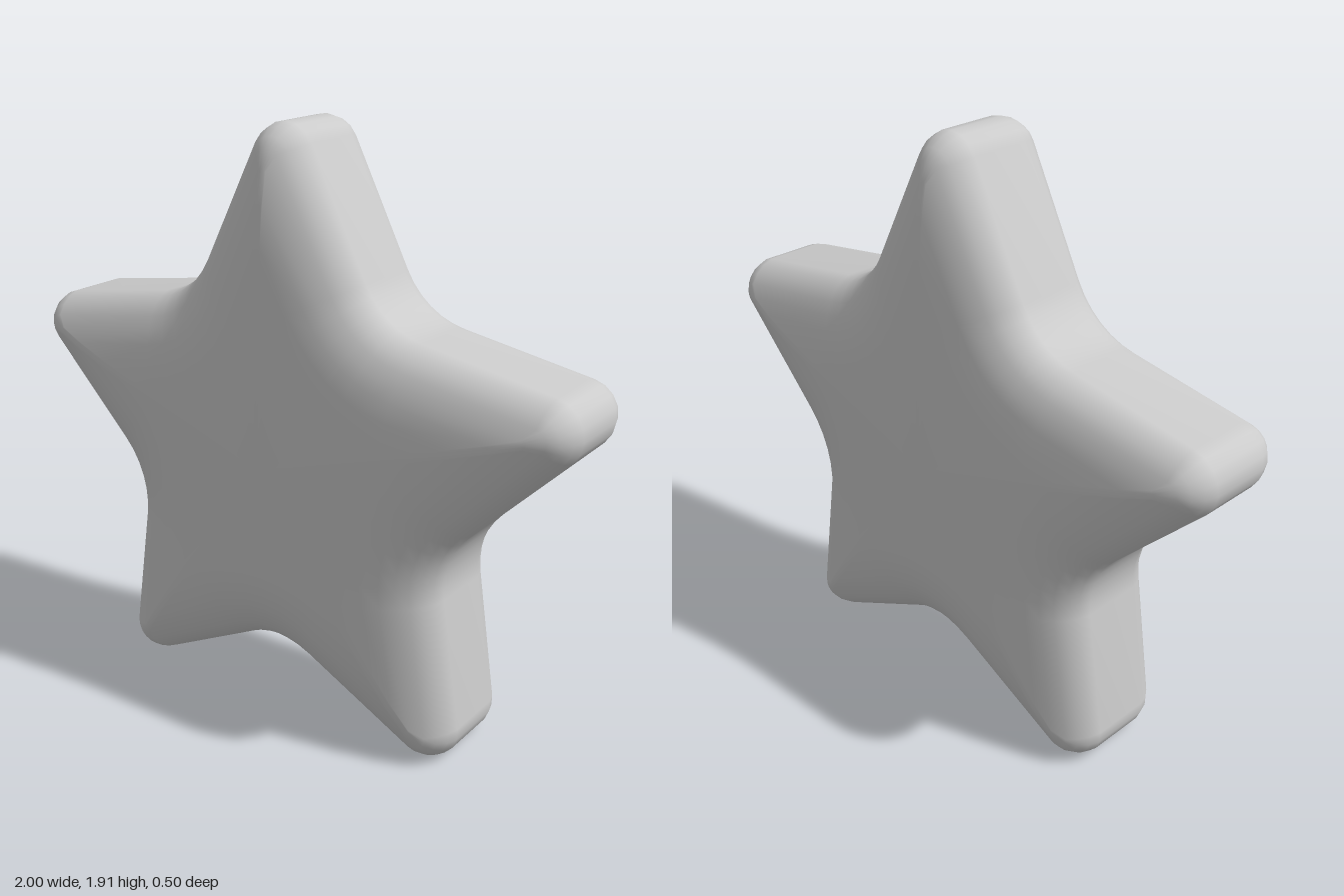
import * as THREE from 'three';

const CENTRE_Y = 0.866;
const TIP = 1.171, VALLEY = 0.6;            // sharp star radii before rounding
const TIP_ROUND = 0.105, VALLEY_ROUND = 0.27;
const STEPS = 6;                            // segments per rounded corner
const DEG = Math.PI / 180;
// half angles of the pointed tip and of the valley
const vx = VALLEY * Math.sin(36 * DEG), vy = VALLEY * Math.cos(36 * DEG);
const TIP_HALF = Math.atan2(vx, TIP - vy);
const VALLEY_HALF = TIP_HALF + 36 * DEG;

// rounded star outline, moved inward by d, counter-clockwise
function starOutline(d) {
  const points = [];
  const arc = (angle, dist, r, from, to) => {
    for (let i = 0; i <= STEPS; i++) {
      const a = from + (to - from) * i / STEPS;
      points.push(new THREE.Vector2(
        Math.cos(angle) * dist + Math.cos(a) * r,
        Math.sin(angle) * dist + Math.sin(a) * r));
    }
  };
  const rTip = Math.max(TIP_ROUND - d, 0.015), rValley = VALLEY_ROUND + d;
  const tipDist = TIP - (d + rTip) / Math.sin(TIP_HALF);
  const valleyDist = VALLEY + (rValley - d) / Math.sin(VALLEY_HALF);
  const tipSweep = Math.PI / 2 - TIP_HALF, valleySweep = Math.PI / 2 - VALLEY_HALF;
  for (let k = 0; k < 5; k++) {
    const t = (90 + 72 * k) * DEG, v = t + 36 * DEG;
    arc(t, tipDist, rTip, t - tipSweep, t + tipSweep);
    arc(v, valleyDist, rValley, v + Math.PI + valleySweep, v + Math.PI - valleySweep);
  }
  return points;
}

// skin the star with outlines running from the front face to the back face
function starGeometry() {
  // [inset, half depth] from the face to the side wall
  const profile = [[0.28, 0.248], [0.21, 0.241], [0.15, 0.23], [0.105, 0.213],
    [0.065, 0.193], [0.035, 0.169], [0.012, 0.137], [0, 0.1]];
  const rings = [...profile, ...profile.slice().reverse().map(([d, z]) => [d, -z])];
  const n = 10 * (STEPS + 1);
  const pos = [], index = [];
  for (const [d, z] of rings) {
    for (const p of starOutline(d)) pos.push(p.x, p.y, z);
  }
  for (let r = 0; r < rings.length - 1; r++) {
    for (let i = 0; i < n; i++) {
      const a = r * n + i, b = r * n + (i + 1) % n;
      index.push(a, a + n, b, b, a + n, b + n);
    }
  }
  // slightly domed middles
  const front = pos.length / 3, back = front + 1, last = (rings.length - 1) * n;
  pos.push(0, 0, 0.25, 0, 0, -0.25);
  for (let i = 0; i < n; i++) {
    const j = (i + 1) % n;
    index.push(front, i, j, back, last + j, last + i);
  }
  const geometry = new THREE.BufferGeometry();
  geometry.setAttribute('position', new THREE.Float32BufferAttribute(pos, 3));
  geometry.setIndex(index);
  geometry.computeVertexNormals();
  return geometry;
}

export function createModel() {
  const group = new THREE.Group();
  const star = new THREE.Mesh(starGeometry(), new THREE.MeshStandardMaterial({ color: 0xcccccc }));
  star.name = 'star';
  star.position.y = CENTRE_Y;
  group.add(star);
  return group;
}
